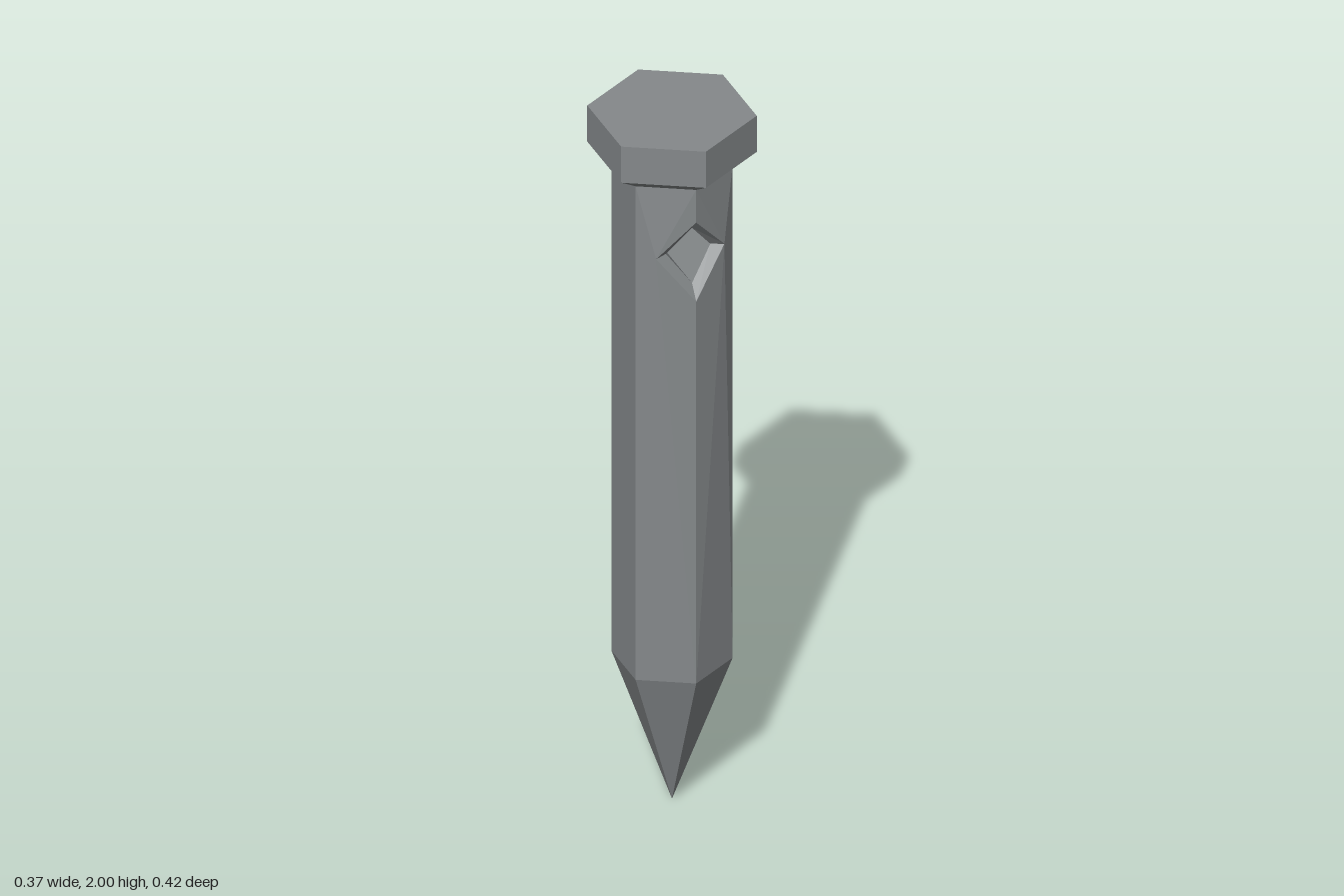
import * as THREE from 'three';

const SHAFT_R = 0.151, SHAFT_BOTTOM = 0.42, SHAFT_TOP = 1.855;
const HALF_W = SHAFT_R * Math.sin(Math.PI / 3), HALF_Z = SHAFT_R / 2;

// Faceted copy of a geometry
function facet(geometry) {
  const g = geometry.index ? geometry.toNonIndexed() : geometry;
  g.computeVertexNormals();
  return g;
}

// Six-sided solid of revolution with corners on the z axis
function hexLathe(profile) {
  return facet(new THREE.LatheGeometry(profile.map(([r, y]) => new THREE.Vector2(r, y)), 6));
}

// Builds polygons for the +x +z quarter and mirrors them to the other three
function mirroredQuarters(polygons) {
  const positions = [];
  for (const sx of [1, -1]) for (const sz of [1, -1]) {
    for (const poly of polygons) {
      const p = sx * sz > 0 ? poly : [...poly].reverse();
      for (let i = 1; i < p.length - 1; i++) {
        for (const [x, y, z] of [p[0], p[i], p[i + 1]]) positions.push(x * sx, y, z * sz);
      }
    }
  }
  const g = new THREE.BufferGeometry();
  g.setAttribute('position', new THREE.Float32BufferAttribute(positions, 3));
  return facet(g);
}

export function createModel() {
  const group = new THREE.Group();
  const steel = new THREE.MeshStandardMaterial({ color: 0x85898b });
  steel.name = 'grey steel';
  const add = (name, geometry) => {
    const mesh = new THREE.Mesh(geometry, steel);
    mesh.name = name;
    group.add(mesh);
  };

  // Head with chamfered underside, and pointed tip
  add('head', hexLathe([[SHAFT_R, SHAFT_TOP], [0.211, 1.895], [0.211, 2], [0, 2]]));
  add('tip', hexLathe([[0, 0], [SHAFT_R, SHAFT_BOTTOM]]));

  // Plain left and right faces of the shaft
  for (const side of [1, -1]) {
    const g = new THREE.CylinderGeometry(SHAFT_R, SHAFT_R, SHAFT_TOP - SHAFT_BOTTOM, 1, 1, true,
      side * Math.PI / 2 - Math.PI / 6, Math.PI / 3);
    g.translate(0, (SHAFT_TOP + SHAFT_BOTTOM) / 2, 0);
    add(side > 0 ? 'shaftLeftFace' : 'shaftRightFace', facet(g));
  }

  // Front and back shaft faces around the diamond eye
  const a0 = [0, SHAFT_BOTTOM, SHAFT_R], a1 = [0, SHAFT_TOP, SHAFT_R];
  const b0 = [HALF_W, SHAFT_BOTTOM, HALF_Z], b1 = [HALF_W, SHAFT_TOP, HALF_Z];
  const top = [0, 1.76, SHAFT_R], side = [0.092, 1.655, 0.114], bottom = [0, 1.53, SHAFT_R];
  add('shaftEyeFaces', mirroredQuarters([
    [a0, b0, side], [b0, b1, side], [b1, a1, side], [a1, top, side], [bottom, a0, side],
  ]));

  // Bevelled rim of the eye
  const inTop = [0, 1.73, 0.125], inSide = [0.06, 1.655, 0.1], inBottom = [0, 1.57, 0.125];
  add('eyeBevel', mirroredQuarters([
    [side, top, inTop, inSide], [bottom, side, inSide, inBottom],
  ]));

  // Walls of the eye running through the shaft
  const mid = ([x, y]) => [x, y, 0];
  add('eyeWalls', mirroredQuarters([
    [inSide, inTop, mid(inTop), mid(inSide)],
    [inBottom, inSide, mid(inSide), mid(inBottom)],
  ]));
  return group;
}
